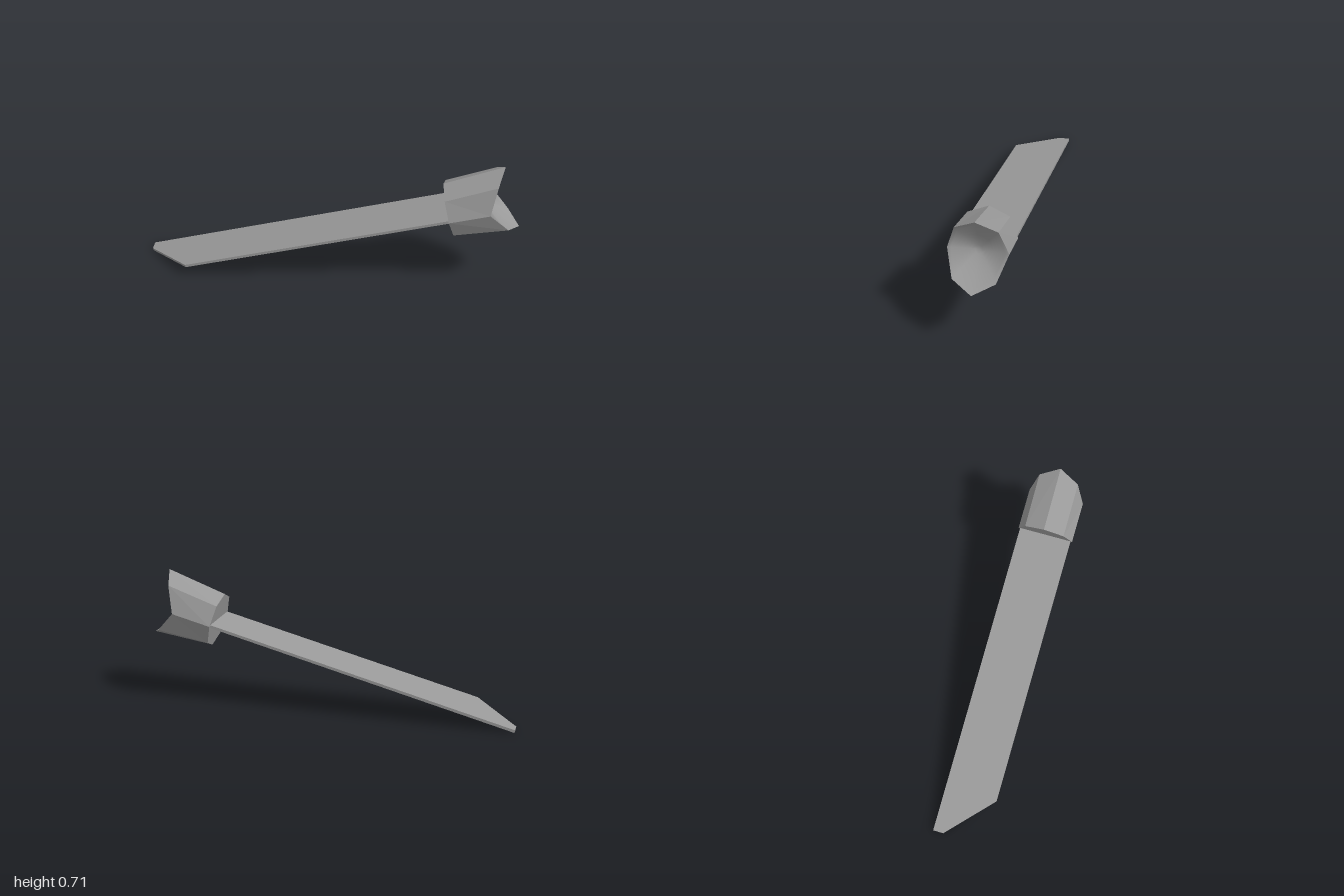
import * as THREE from 'three';

const SIDES = 8;

// Octagon ring points in the tilted frame: x along the axis, y across, z sideways
function ring(xs, yScale) {
  return Array.from({ length: SIDES }, (_, i) => {
    const a = (i / SIDES) * Math.PI * 2;
    return [xs[i], 0.15 * yScale * Math.cos(a), 0.15 * Math.sin(a)];
  });
}

function makeGeometry(points, index) {
  const g = new THREE.BufferGeometry();
  g.setAttribute('position', new THREE.Float32BufferAttribute(points.flat(), 3));
  if (index) g.setIndex(index);
  g.computeVertexNormals();
  return g;
}

export function createModel() {
  const grey = new THREE.MeshStandardMaterial({ color: 0x999999 });
  const model = new THREE.Group();
  const tilted = new THREE.Group();
  tilted.name = 'tiltedAssembly';
  tilted.position.set(0.63, 0.45, 0);
  tilted.rotation.z = THREE.MathUtils.degToRad(15.2);
  model.add(tilted);

  const add = (name, geometry) => {
    const mesh = new THREE.Mesh(geometry, grey);
    mesh.name = name;
    tilted.add(mesh);
  };

  // Long flat strip with one corner of the tip cut off
  const len = 1.6875, half = 0.141, thick = 0.015;
  const outline = new THREE.Shape([
    [0.02, -half], [0.02, half], [-len, half], [-len, 0.085], [-len + 0.24, -half],
  ].map(([x, y]) => new THREE.Vector2(x, y)));
  const strip = new THREE.ExtrudeGeometry(outline, { depth: thick, bevelEnabled: false });
  strip.rotateX(-Math.PI / 2).translate(0, -thick / 2, 0);
  add('blade', strip);

  // Eight-sided head: flat back, flared sides and a notched front rim
  const depth = [0.331, 0.284, 0.216, 0.284, 0.331, 0.284, 0.216, 0.284];
  const back = ring(Array(SIDES).fill(0), 1);
  const rim = ring(depth, 1.225);
  const shell = [];
  for (let i = 0; i < SIDES; i++) {
    const j = (i + 1) % SIDES;
    shell.push(back[i], back[j], rim[j], back[i], rim[j], rim[i]);
    shell.push([0, 0, 0], back[j], back[i]);
  }
  add('headShell', makeGeometry(shell));

  // Smooth hollow front, built from rings shrinking towards the centre
  const steps = 8, floor = 0.195;
  const points = [[floor, 0, 0]], index = [];
  for (let s = 1; s <= steps; s++) {
    const t = s / steps;
    for (const [x, y, z] of rim) points.push([floor + (x - floor) * t ** 1.5, y * t, z * t]);
    const outer = 1 + (s - 1) * SIDES, inner = outer - SIDES;
    for (let i = 0; i < SIDES; i++) {
      const j = (i + 1) % SIDES;
      if (s === 1) index.push(0, outer + i, outer + j);
      else index.push(inner + i, outer + i, outer + j, inner + i, outer + j, inner + j);
    }
  }
  add('headHollow', makeGeometry(points, index));

  return model;
}
